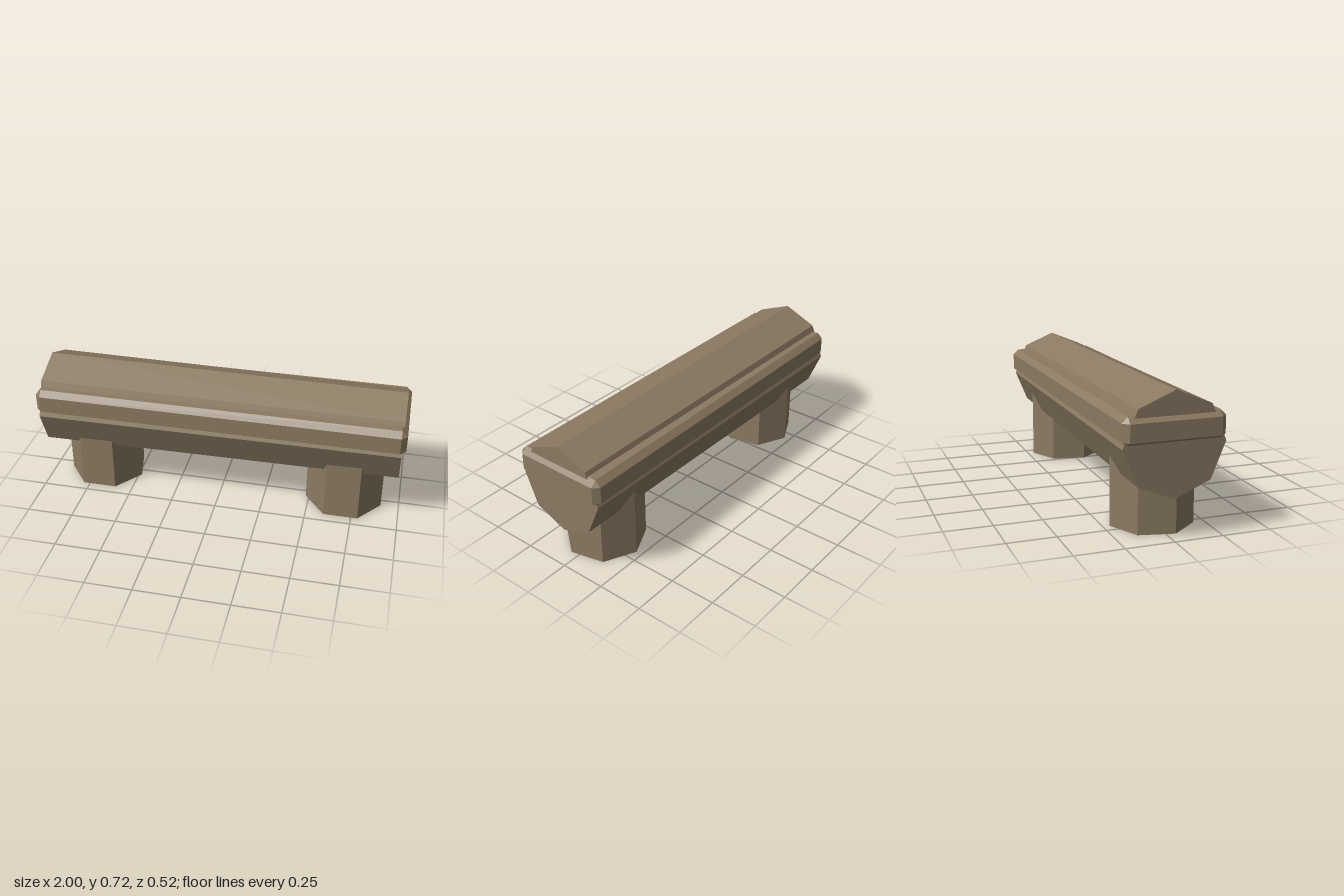
import * as THREE from 'three';
import { ConvexGeometry } from 'three/addons/geometries/ConvexGeometry.js';

// Box with every edge chamfered; the lower chamfer may be shallower
function chamferedBox(hx, hz, y0, y1, c, cBottom) {
  const points = [];
  for (const sx of [-1, 1]) for (const sz of [-1, 1]) {
    for (const [y, inner] of [[y0, y0 + cBottom], [y1, y1 - c]]) {
      points.push(
        new THREE.Vector3(sx * (hx - c), y, sz * (hz - c)),
        new THREE.Vector3(sx * hx, inner, sz * (hz - c)),
        new THREE.Vector3(sx * (hx - c), inner, sz * hz)
      );
    }
  }
  return new ConvexGeometry(points);
}

export function createModel() {
  const group = new THREE.Group();
  group.name = 'logBench';
  const wood = new THREE.MeshStandardMaterial({ color: 0x8b7a62, flatShading: true });
  wood.name = 'brown wood';

  const add = (name, geometry) => {
    const mesh = new THREE.Mesh(geometry, wood);
    mesh.name = name;
    group.add(mesh);
    return mesh;
  };

  // Eight-sided log lying along x, slightly thinner at its left (+x) end
  const log = add('log', new THREE.CylinderGeometry(0.246, 0.26, 1.96, 8));
  log.rotation.z = -Math.PI / 2;
  log.position.y = 0.464;

  // Chamfered seat slab around the log
  add('seat', chamferedBox(1, 0.26, 0.475, 0.615, 0.03, 0.02));

  // Seven-sided stump legs, a corner pointing to the back
  for (const [name, x] of [['rightLeg', -0.692], ['leftLeg', 0.692]]) {
    const leg = add(name, new THREE.CylinderGeometry(0.215, 0.215, 0.4, 7));
    leg.rotation.y = Math.PI;
    leg.position.set(x, 0.2, 0);
  }

  return group;
}
